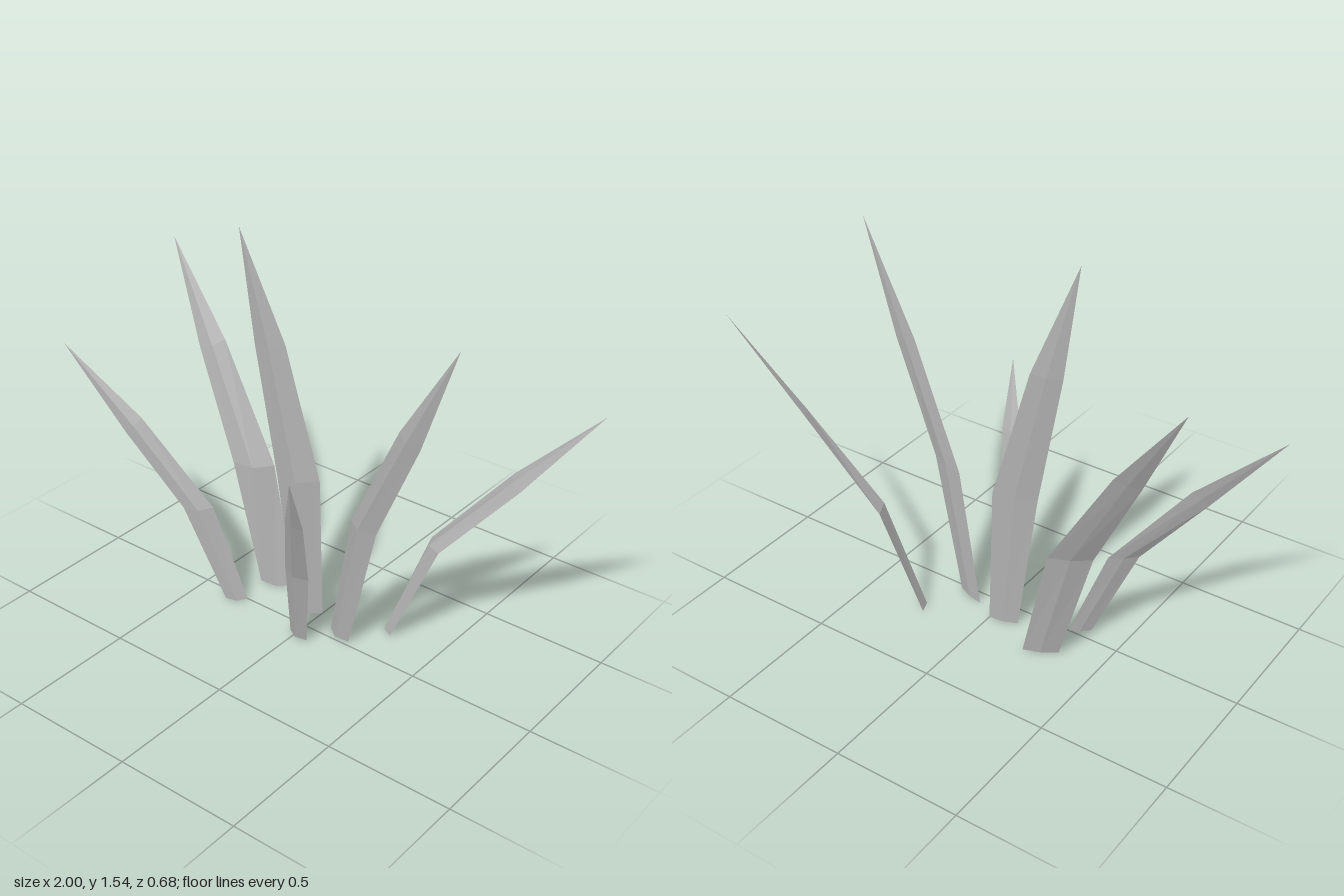
import * as THREE from 'three';

// Each blade: left and right edge points at base, bend and shoulder, then the tip
const BLADES = [
  { name: 'outerRightBlade', rings: [[-0.36, 0, 0.05, -0.29, 0, 0], [-0.52, 0.38, 0.10, -0.43, 0.38, 0.03], [-0.75, 0.66, 0.16, -0.70, 0.72, 0.12]], tip: [-1, 0.98, 0.21] },
  { name: 'innerRightBlade', rings: [[-0.33, 0, -0.13, -0.21, 0, -0.19], [-0.47, 0.49, -0.14, -0.33, 0.49, -0.22], [-0.68, 0.90, -0.20, -0.60, 0.94, -0.255]], tip: [-0.87, 1.29, -0.28] },
  { name: 'tallBlade', rings: [[-0.11, 0, -0.075, 0, 0, -0.105], [-0.18, 0.58, -0.055, -0.02, 0.58, -0.11], [-0.27, 1.1, -0.045, -0.16, 1.11, -0.085]], tip: [-0.32, 1.54, -0.03] },
  { name: 'shortFrontBlade', rings: [[-0.03, 0, 0.055, 0.06, 0, 0.07], [0, 0.33, 0.12, 0.12, 0.33, 0.135], [0.09, 0.62, 0.23, 0.175, 0.62, 0.235]], tip: [0.2, 0.86, 0.34] },
  { name: 'innerLeftBlade', rings: [[0.08, 0, -0.055, 0.19, 0, -0.02], [0.19, 0.54, -0.025, 0.33, 0.55, 0.015], [0.43, 1.01, 0.035, 0.53, 0.98, 0.055]], tip: [0.69, 1.41, 0.09] },
  { name: 'outerLeftBlade', rings: [[0.23, 0, -0.22, 0.29, 0, -0.15], [0.38, 0.42, -0.27, 0.47, 0.43, -0.18], [0.68, 0.78, -0.32, 0.74, 0.75, -0.25]], tip: [1, 1.1, -0.34] },
];
const RIDGE = 0.2; // front ridge height, as a share of the width
const BACK = 0.06; // slight bulge of the back

// Four-point cross-section: left edge, front ridge, right edge, back
function section([lx, ly, lz, rx, ry, rz]) {
  const dx = rx - lx, dz = rz - lz;
  const mid = (k) => [(lx + rx) / 2 - dz * k, (ly + ry) / 2, (lz + rz) / 2 + dx * k];
  return [[lx, ly, lz], mid(RIDGE), [rx, ry, rz], mid(-BACK)];
}

function bladeGeometry({ rings, tip }) {
  const sections = rings.map(section);
  const out = [];
  const tri = (...points) => points.forEach((p) => out.push(...p));
  sections.forEach((a, s) => {
    const b = sections[s + 1];
    for (let i = 0; i < 4; i++) {
      const j = (i + 1) % 4;
      if (b) {
        tri(a[i], a[j], b[j]);
        tri(a[i], b[j], b[i]);
      } else tri(a[i], a[j], tip);
    }
  });
  // Base cap
  const c = sections[0];
  tri(c[0], c[2], c[1]);
  tri(c[0], c[3], c[2]);
  const geometry = new THREE.BufferGeometry();
  geometry.setAttribute('position', new THREE.Float32BufferAttribute(out, 3));
  geometry.computeVertexNormals();
  return geometry;
}

export function createModel() {
  const group = new THREE.Group();
  group.name = 'grassTuft';
  const grey = new THREE.MeshStandardMaterial({ color: 0xb0b0b0 });
  grey.name = 'grey';
  for (const blade of BLADES) {
    const mesh = new THREE.Mesh(bladeGeometry(blade), grey);
    mesh.name = blade.name;
    group.add(mesh);
  }
  return group;
}
